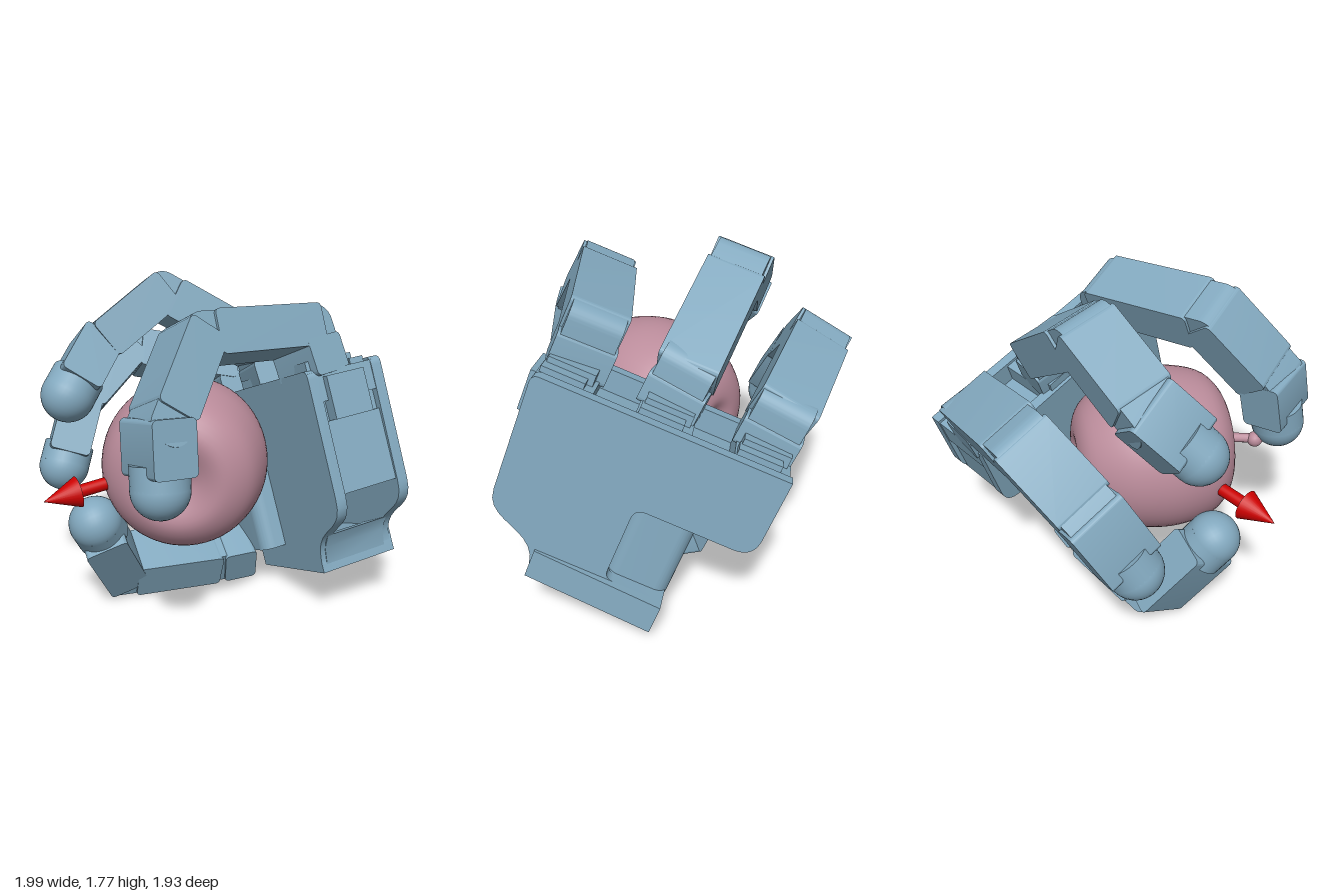
import * as THREE from 'three';
import { toCreasedNormals } from 'three/addons/utils/BufferGeometryUtils.js';

const V = (x, y, z) => new THREE.Vector3(x, y, z);
const blue = new THREE.MeshStandardMaterial({ color: 0x82a8be });
const pink = new THREE.MeshStandardMaterial({ color: 0xbb8c9b });
const red = new THREE.MeshStandardMaterial({ color: 0xcc0000 });

// Palm axes: U across the fingers, W from fingers to wrist, N out of the back
const U = V(0.384, 0.349, 0.854).normalize();
const N = V(0.892, 0.095, -0.44).normalize();
const W = N.clone().cross(U).normalize();

function add(parent, name, geometry, material = blue) {
  const mesh = new THREE.Mesh(geometry, material);
  mesh.name = name;
  parent.add(mesh);
  return mesh;
}

function slab(shape, depth) {
  const g = new THREE.ExtrudeGeometry(shape, { depth, bevelEnabled: false, curveSegments: 10 });
  return toCreasedNormals(g, 0.6);
}

const polygon = (points) => new THREE.Shape(points.map(([x, y]) => new THREE.Vector2(x, y)));

function roundedRect(x0, x1, y0, y1, r) {
  const s = new THREE.Shape();
  s.moveTo(x0 + r, y0);
  s.lineTo(x1 - r, y0);
  s.absarc(x1 - r, y0 + r, r, -Math.PI / 2, 0);
  s.lineTo(x1, y1 - r);
  s.absarc(x1 - r, y1 - r, r, 0, Math.PI / 2);
  s.lineTo(x0 + r, y1);
  s.absarc(x0 + r, y1 - r, r, Math.PI / 2, Math.PI);
  s.lineTo(x0, y0 + r);
  s.absarc(x0 + r, y0 + r, r, Math.PI, Math.PI * 1.5);
  return s;
}

// Group whose x runs from a to b and whose z is the hinge axis
function frame(parent, name, a, b, hinge) {
  const d = b.clone().sub(a).normalize();
  const h = hinge.clone().addScaledVector(d, -hinge.dot(d)).normalize();
  const g = new THREE.Group();
  g.name = name;
  g.quaternion.setFromRotationMatrix(new THREE.Matrix4().makeBasis(d, h.clone().cross(d), h));
  g.position.copy(a);
  parent.add(g);
  return g;
}

function bar(parent, name, x0, x1, thick, width, r) {
  const m = add(parent, name, slab(roundedRect(x0, x1, -thick / 2, thick / 2, r), width));
  m.position.z = -width / 2;
}

// Link: wide body from its first joint, with a rounded end over the next
function link(parent, name, a, b, hinge) {
  const g = frame(parent, name, a, b, hinge);
  const len = a.distanceTo(b);
  bar(g, 'linkBody', -0.035, len - 0.06, 0.215, 0.3, 0.025);
  bar(g, 'linkEnd', len - 0.2, len + 0.1, 0.205, 0.27, 0.09);
}

// Last link: a square socket holding a domed pad centred on b
function fingertip(parent, a, b, hinge, r) {
  const g = frame(parent, 'fingertip', a, b, hinge);
  const len = a.distanceTo(b);
  bar(g, 'tipSocket', -0.05, len - 0.06, 0.225, 0.3, 0.025);
  const neck = add(g, 'tipNeck', new THREE.CylinderGeometry(r, r, 0.12, 32));
  neck.rotation.z = -Math.PI / 2;
  neck.position.x = len - 0.06;
  const dome = add(g, 'tipDome', new THREE.SphereGeometry(r, 32, 20));
  dome.position.x = len;
}

function buildPalm(root) {
  const palm = new THREE.Group();
  palm.name = 'palm';
  palm.quaternion.setFromRotationMatrix(new THREE.Matrix4().makeBasis(U, W, N));
  root.add(palm);
  const block = (name, u0, u1, v0, v1, n0, n1) => {
    const m = add(palm, name, new THREE.BoxGeometry(u1 - u0, v1 - v0, n1 - n0));
    m.position.set((u0 + u1) / 2, (v0 + v1) / 2, (n0 + n1) / 2);
  };
  // Shape drawn in the U-N plane, running from v1 back towards the fingers
  const upright = (name, shape, v0, v1) => {
    const m = add(palm, name, slab(shape, v1 - v0));
    m.rotation.x = Math.PI / 2;
    m.position.y = v1;
  };

  // Two matching plates with an S-curved front edge and a notch for the thumb
  const s = new THREE.Shape();
  s.moveTo(-0.355, -1.065);
  s.lineTo(0.88, -1.065);
  s.quadraticCurveTo(0.92, -1.065, 0.92, -1.02);
  s.lineTo(0.91, -0.42);
  s.bezierCurveTo(0.91, -0.22, 0.64, -0.3, 0.62, -0.08);
  s.lineTo(0.62, -0.03);
  s.lineTo(-0.06, -0.03);
  s.lineTo(-0.06, -0.18);
  s.lineTo(0.2, -0.18);
  s.quadraticCurveTo(0.25, -0.18, 0.25, -0.23);
  s.lineTo(0.25, -0.56);
  s.quadraticCurveTo(0.25, -0.62, 0.19, -0.62);
  s.lineTo(-0.25, -0.62);
  s.quadraticCurveTo(-0.355, -0.62, -0.355, -0.73);
  add(palm, 'innerPlate', slab(s, 0.06)).position.z = 0.37;
  add(palm, 'backPlate', slab(s, 0.06)).position.z = 0.75;

  // Filling between the plates, and a wrist block that thickens to one side
  block('palmCore', -0.33, 0.88, -0.95, -0.63, 0.4, 0.77);
  block('sideWall', 0.82, 0.9, -0.8, -0.43, 0.4, 0.77);
  const fillet = polygon([[0.7, -0.22], [0.64, -0.15], [0.615, -0.04], [0.5, -0.04], [0.5, -0.19]]);
  add(palm, 'wristFillet', slab(fillet, 0.37)).position.z = 0.4;
  upright('wristBlock', polygon([[-0.06, 0.37], [0.62, 0.37], [0.62, 0.825], [-0.06, 0.865]]), -0.18, -0.02);

  // Stepped motor mount under each finger
  for (const u of [-0.21, 0.283, 0.775]) {
    block('mountBase', u - 0.14, u + 0.14, -1.05, -0.9, 0.38, 0.77);
    block('mountStep', u - 0.12, u + 0.12, -1.11, -1.0, 0.39, 0.66);
    block('mountCap', u - 0.09, u + 0.13, -1.08, -1.0, 0.64, 0.72);
  }
  block('sideMotor', 0.85, 0.95, -1.02, -0.8, 0.46, 0.68);

  upright('thumbHousing', roundedRect(-0.07, 0.26, 0.24, 0.74, 0.07), -0.59, -0.16);
}

function buildApple(root) {
  const apple = new THREE.Group();
  apple.name = 'apple';
  apple.position.set(-0.155, 0.835, 0.1);
  apple.quaternion.setFromUnitVectors(V(0, 1, 0), V(-0.12, 0, 0.99).normalize());
  root.add(apple);
  const profile = new THREE.SplineCurve([
    [0, -0.32], [0.05, -0.36], [0.14, -0.39], [0.27, -0.34], [0.38, -0.19], [0.425, -0.02],
    [0.425, 0.15], [0.37, 0.32], [0.24, 0.41], [0.1, 0.37], [0, 0.3],
  ].map(([x, y]) => new THREE.Vector2(x, y))).getPoints(50);
  profile.forEach((p) => { p.x = Math.max(p.x, 0); });
  add(apple, 'appleBody', new THREE.LatheGeometry(profile, 56), pink);
  const path = new THREE.CatmullRomCurve3([V(0, 0.27, 0), V(0, 0.42, 0), V(-0.02, 0.54, 0), V(-0.04, 0.6, 0)]);
  add(apple, 'stem', new THREE.TubeGeometry(path, 16, 0.026, 12), pink);
  const knob = add(apple, 'stemEnd', new THREE.SphereGeometry(0.042, 16, 12), pink);
  knob.position.set(-0.04, 0.59, 0);
}

function buildArrow(root) {
  const arrow = new THREE.Group();
  arrow.name = 'arrow';
  arrow.position.set(-0.85, 0.74, 0.507);
  arrow.quaternion.setFromUnitVectors(V(0, 1, 0), V(-0.3, -0.04, 0.155).normalize());
  root.add(arrow);
  add(arrow, 'arrowHead', new THREE.ConeGeometry(0.08, 0.18, 28), red).position.y = -0.09;
  add(arrow, 'arrowShaft', new THREE.CylinderGeometry(0.033, 0.033, 0.34, 24), red).position.y = -0.34;
}

export function createModel() {
  const root = new THREE.Group();
  root.name = 'handHoldingApple';
  buildPalm(root);
  buildApple(root);
  buildArrow(root);

  // Joints of each finger: knuckle, middle joint, end joint, dome centre
  const fingers = [
    ['frontFinger', 0.775, V(0.43, 1.5, 0.09), V(-0.12, 1.53, 0.46), V(-0.27, 1.19, 0.75), V(-0.26, 0.92, 0.81)],
    ['middleFinger', 0.283, V(0.25, 1.31, -0.33), V(-0.31, 1.635, -0.26), V(-0.65, 1.375, -0.08), V(-0.765, 1.175, 0.12)],
    ['backFinger', -0.21, V(0.07, 1.13, -0.75), V(-0.52, 1.245, -0.63), V(-0.79, 0.97, -0.4), V(-0.865, 0.67, -0.22)],
  ];
  for (const [name, u, j0, j1, j2, tip] of fingers) {
    const g = new THREE.Group();
    g.name = name;
    root.add(g);
    const hinge = j1.clone().sub(j0).cross(j2.clone().sub(j1)).normalize();
    const base = V(0, 0, 0).addScaledVector(U, u).addScaledVector(W, -1.06).addScaledVector(N, 0.5);
    link(g, 'knuckle', base, j0, hinge);
    link(g, 'lowerLink', j0, j1, hinge);
    link(g, 'upperLink', j1, j2, hinge);
    fingertip(g, j2, tip, hinge, 0.14);
  }

  // Thumb: short root link, long link, tall tip
  const thumb = new THREE.Group();
  thumb.name = 'thumb';
  root.add(thumb);
  const t0 = V(-0.04, 0.16, -0.13), t1 = V(-0.53, 0.165, 0.03), t2 = V(-0.63, 0.535, 0.29);
  const hinge = V(0.3, -0.4, 0.87);
  link(thumb, 'thumbRoot', V(0.16, 0.18, -0.18), t0, hinge);
  link(thumb, 'thumbLink', t0, t1, hinge);
  fingertip(thumb, t1, t2, hinge, 0.14);
  return root;
}
